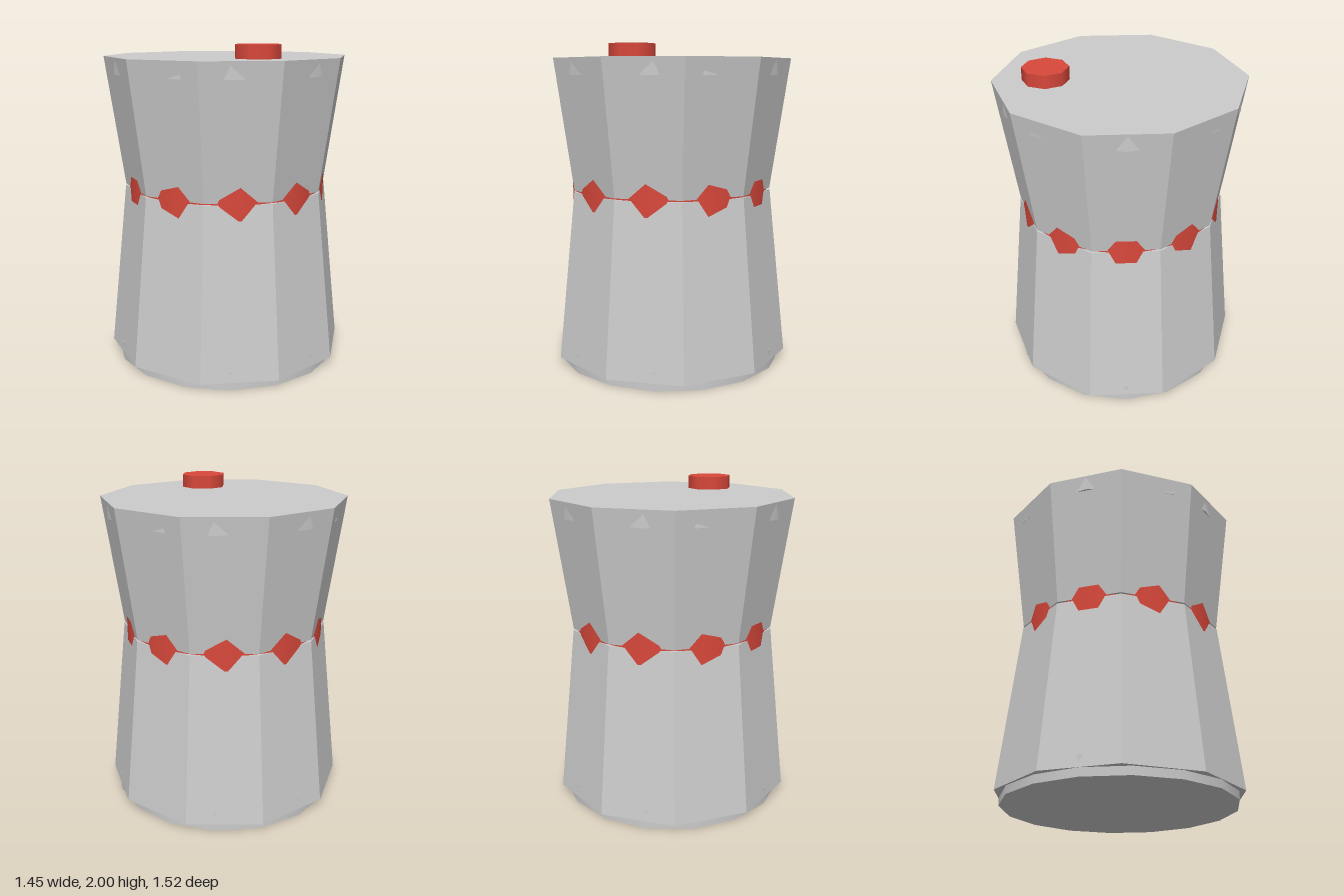
import * as THREE from 'three';

const grey = new THREE.MeshStandardMaterial({ color: 0xcccccc });
const greyFlat = new THREE.MeshStandardMaterial({ color: 0xcccccc, flatShading: true });
const red = new THREE.MeshStandardMaterial({ color: 0xd9483b });

// Upright (tapered) prism between two heights
function prism(name, rBottom, rTop, y0, y1, sides, material) {
  const geometry = new THREE.CylinderGeometry(rTop, rBottom, y1 - y0, sides);
  const mesh = new THREE.Mesh(geometry, material);
  mesh.name = name;
  mesh.position.y = (y0 + y1) / 2;
  return mesh;
}

export function createModel() {
  const model = new THREE.Group();
  model.name = 'waistedCanister';

  // Ten-sided halves that narrow to a thin gap at the waist
  const lowerBody = prism('lowerBody', 0.76, 0.647, 0.05, 1.105, 10, greyFlat);
  const upperBody = prism('upperBody', 0.645, 0.76, 1.115, 1.92, 10, greyFlat);

  // Round inserts whose corners just break through the ten flat sides
  const base = prism('base', 0.72, 0.72, 0, 0.12, 16, grey);
  const topInsert = prism('topInsert', 0.7215, 0.7215, 1.82, 1.915, 16, grey);

  // Red ring showing through the middle of each side
  const waistRing = prism('waistRing', 0.626, 0.626, 1.01, 1.21, 32, red);
  waistRing.rotation.y = Math.PI / 32;

  // Button near the front of the lid
  const button = prism('button', 0.14, 0.14, 1.9, 2, 8, red);
  button.position.z = 0.44;

  model.add(lowerBody, upperBody, base, topInsert, waistRing, button);
  return model;
}
